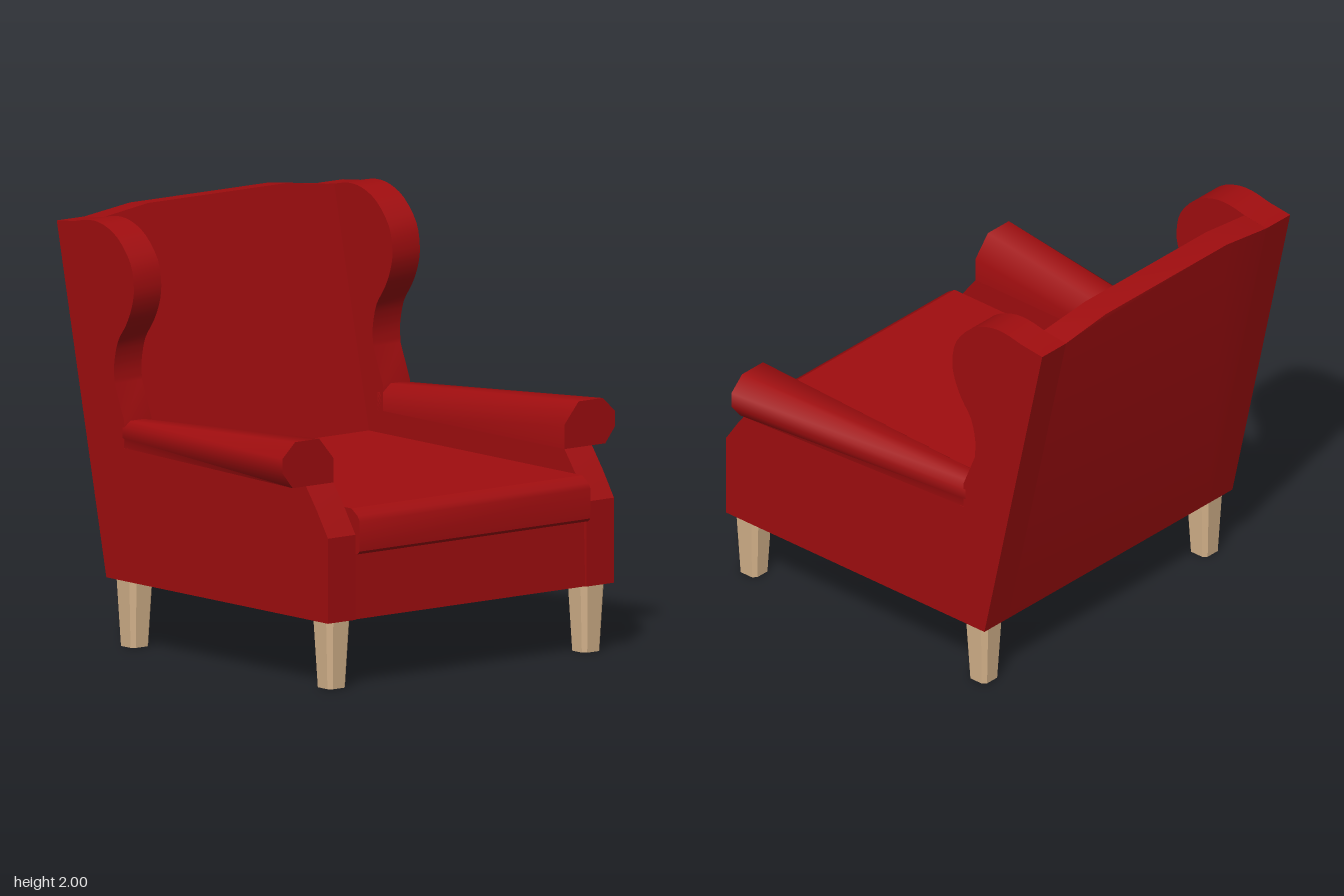
import * as THREE from 'three';
import { toCreasedNormals } from 'three/addons/utils/BufferGeometryUtils.js';

const fabric = new THREE.MeshStandardMaterial({ color: 0xa00d0f });
fabric.name = 'red fabric';
const wood = new THREE.MeshStandardMaterial({ color: 0xd6b48c });
wood.name = 'pale wood';

const vec = ([a, b]) => new THREE.Vector2(a, b);

function mesh(name, geometry, material) {
  const m = new THREE.Mesh(geometry, material);
  m.name = name;
  return m;
}

// Side profile of [z, y] points, extruded across x from x0 to x1
function acrossX(points, x0, x1, crease = 0.57) {
  const g = new THREE.ExtrudeGeometry(new THREE.Shape(points.map(vec)), {
    depth: x1 - x0, bevelEnabled: false,
  });
  g.rotateY(-Math.PI / 2).translate(x1, 0, 0);
  return toCreasedNormals(g, crease);
}

// Side panel that rises into the curled wing
function panelProfile() {
  const wing = new THREE.SplineCurve([
    [-0.58, 1.24], [-0.583, 1.33], [-0.556, 1.44], [-0.497, 1.525], [-0.455, 1.615],
    [-0.44, 1.705], [-0.465, 1.82], [-0.556, 1.925], [-0.66, 1.975], [-0.76, 1.985], [-0.87, 1.965],
  ].map(vec)).getPoints(30).map((p) => [p.x, p.y]);
  return [
    [-0.64, 0.32], [0.97, 0.32], [0.97, 0.72], [0.89, 0.84], [0.81, 0.945],
    [-0.51, 0.945], [-0.51, 1.07], ...wing, [-1, 1.95],
  ];
}

// Arm roll: loft from a wide front section to a narrow one inside the wing
function armGeometry(side) {
  const front = [
    [0.78, 1.16], [0.925, 1.16], [1.0, 1.09], [1.0, 1.02],
    [0.94, 0.945], [0.78, 0.945], [0.695, 0.9], [0.695, 1.06],
  ];
  const back = [
    [0.74, 1.067], [0.82, 1.067], [0.857, 1.04], [0.857, 0.99],
    [0.855, 0.945], [0.78, 0.945], [0.695, 0.9], [0.695, 1.03],
  ];
  const n = front.length;
  const pos = [
    ...front.flatMap(([x, y]) => [side * x, y, 0.81]),
    ...back.flatMap(([x, y]) => [side * x, y, -0.55]),
  ];
  const index = [];
  const tri = (a, b, c) => index.push(...(side > 0 ? [a, b, c] : [a, c, b]));
  for (let i = 0; i < n; i++) {
    const j = (i + 1) % n;
    tri(i, j, i + n);
    tri(j, j + n, i + n);
  }
  const caps = THREE.ShapeUtils.triangulateShape(front.map(vec).reverse(), []);
  for (const [a, b, c] of caps) {
    const [p, q, r] = [n - 1 - a, n - 1 - b, n - 1 - c];
    tri(p, q, r);
    tri(p + n, r + n, q + n);
  }
  const g = new THREE.BufferGeometry();
  g.setAttribute('position', new THREE.Float32BufferAttribute(pos, 3));
  g.setIndex(index);
  return toCreasedNormals(g, 1.0);
}

// Backrest: crowned outline, sheared so it leans backwards
function backGeometry() {
  const outline = [
    [-0.695, 0.32], [0.695, 0.32], [0.695, 1.965], [0.42, 2], [-0.42, 2], [-0.695, 1.965],
  ];
  const g = new THREE.ExtrudeGeometry(new THREE.Shape(outline.map(vec)), { depth: 1, bevelEnabled: false });
  const p = g.attributes.position;
  for (let i = 0; i < p.count; i++) {
    const y = p.getY(i);
    if (p.getZ(i) > 0.5) {
      p.setZ(i, -0.61 - (y - 0.84) * 0.224);
    } else {
      p.setZ(i, Math.max(-1, -0.64 - (y - 0.32) * 0.2195));
      if (y > 1) p.setY(i, y - 0.015);
    }
  }
  return toCreasedNormals(g, 0.5);
}

// Tapered square leg with chamfered corners
function legGeometry() {
  const g = new THREE.CylinderGeometry(0.076, 0.057, 0.33, 8, 1, false, Math.PI / 8);
  const p = g.attributes.position;
  for (let i = 0; i < p.count; i++) {
    const [x, z] = [p.getX(i), p.getZ(i)];
    if (Math.abs(x) < Math.abs(z)) p.setX(i, x * 1.6);
    else p.setZ(i, z * 1.6);
  }
  return toCreasedNormals(g, 0.6);
}

export function createModel() {
  const chair = new THREE.Group();
  chair.name = 'wingArmchair';

  // Base and seat cushion with a rounded front lip
  chair.add(mesh('seatBase', acrossX([
    [-0.62, 0.32], [0.96, 0.32], [0.95, 0.66], [-0.62, 0.66],
  ], -0.695, 0.695), fabric));
  chair.add(mesh('seatCushion', acrossX([
    [-0.65, 0.63], [0.985, 0.63], [1.0, 0.645], [1.0, 0.785], [0.985, 0.81], [0.94, 0.84], [-0.65, 0.84],
  ], -0.694, 0.694), fabric));
  chair.add(mesh('backrest', backGeometry(), fabric));

  // Mirrored sides, arms and legs
  const profile = panelProfile();
  for (const side of [1, -1]) {
    const label = side > 0 ? 'left' : 'right';
    const [x0, x1] = side > 0 ? [0.695, 0.86] : [-0.86, -0.695];
    chair.add(mesh(label + 'WingPanel', acrossX(profile, x0, x1), fabric));
    chair.add(mesh(label + 'Arm', armGeometry(side), fabric));
    for (const [end, z] of [['Front', 0.88], ['Back', -0.55]]) {
      const leg = mesh(label + end + 'Leg', legGeometry(), wood);
      leg.position.set(side * 0.765, 0.165, z);
      chair.add(leg);
    }
  }
  return chair;
}
